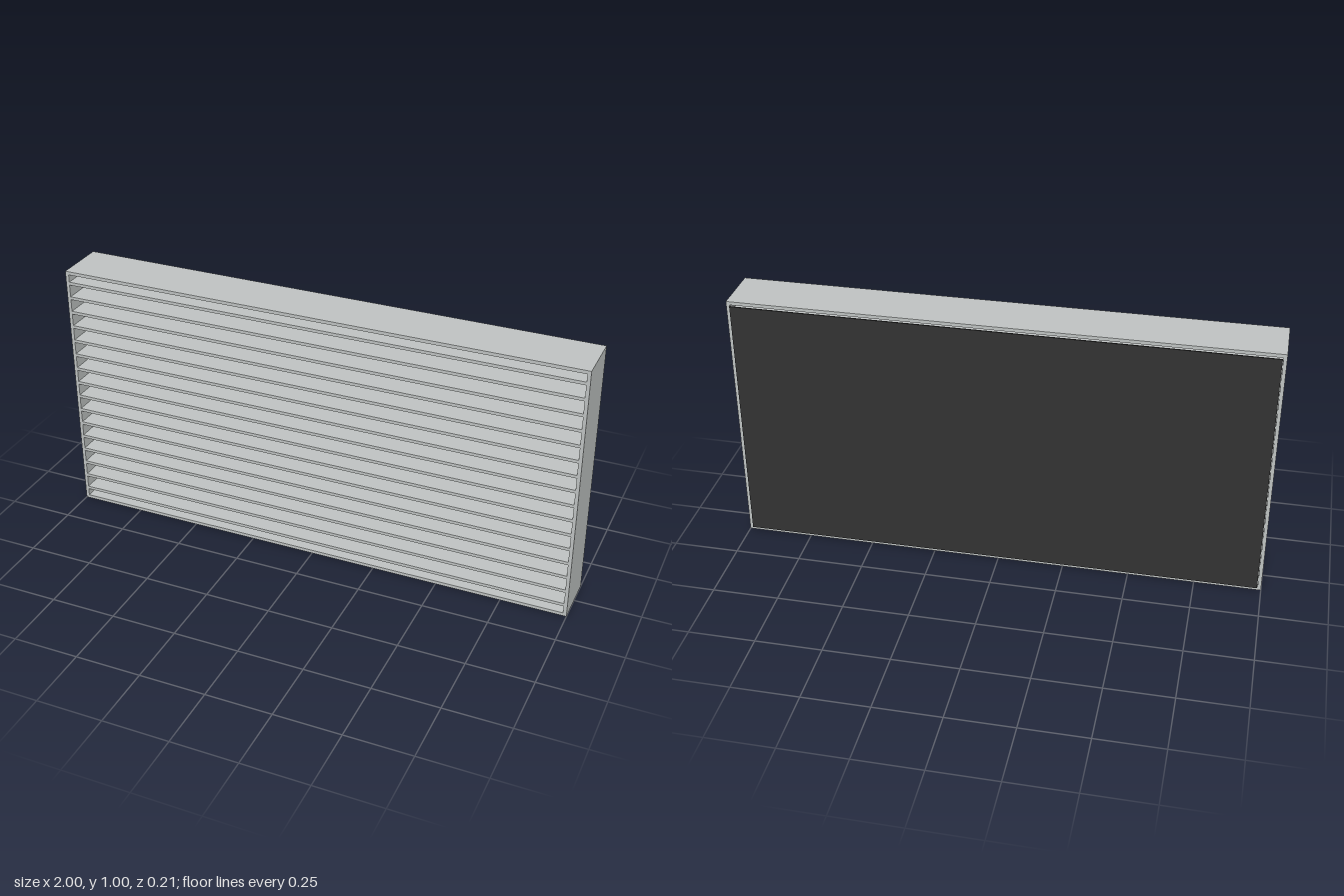
import * as THREE from 'three';

export function createModel() {
  const group = new THREE.Group();
  group.name = 'louvreVent';
  const metal = new THREE.MeshStandardMaterial({ color: 0xc0c4c3 });
  metal.name = 'light grey metal';
  const dark = new THREE.MeshStandardMaterial({ color: 0x333333 });
  dark.name = 'dark backing';

  const wall = 0.013, depth = 0.2, midZ = 0.005;

  function box(name, w, h, d, y, z, material) {
    const mesh = new THREE.Mesh(new THREE.BoxGeometry(w, h, d), material);
    mesh.name = name;
    mesh.position.set(0, y, z);
    group.add(mesh);
  }

  // Rectangular frame, open at front and back
  const outline = new THREE.Shape([
    new THREE.Vector2(-1, 0), new THREE.Vector2(1, 0),
    new THREE.Vector2(1, 1), new THREE.Vector2(-1, 1),
  ]);
  const a = 1 - wall;
  outline.holes.push(new THREE.Path([
    new THREE.Vector2(-a, wall), new THREE.Vector2(-a, a),
    new THREE.Vector2(a, a), new THREE.Vector2(a, wall),
  ]));
  const frame = new THREE.Mesh(
    new THREE.ExtrudeGeometry(outline, { depth, bevelEnabled: false }), metal);
  frame.name = 'frame';
  frame.position.z = midZ - depth / 2;
  group.add(frame);

  // Horizontal slats, evenly spaced
  const slats = 16, pitch = 0.0602;
  for (let i = 0; i < slats; i++) {
    const y = 0.5 + (i - (slats - 1) / 2) * pitch;
    box('slat' + (i + 1), 2 * a, 0.012, depth, y, midZ, metal);
  }

  // Thin backing panel, just behind the frame
  box('backPanel', 1.97, 0.97, 0.005, 0.5, -0.1025, dark);

  return group;
}
